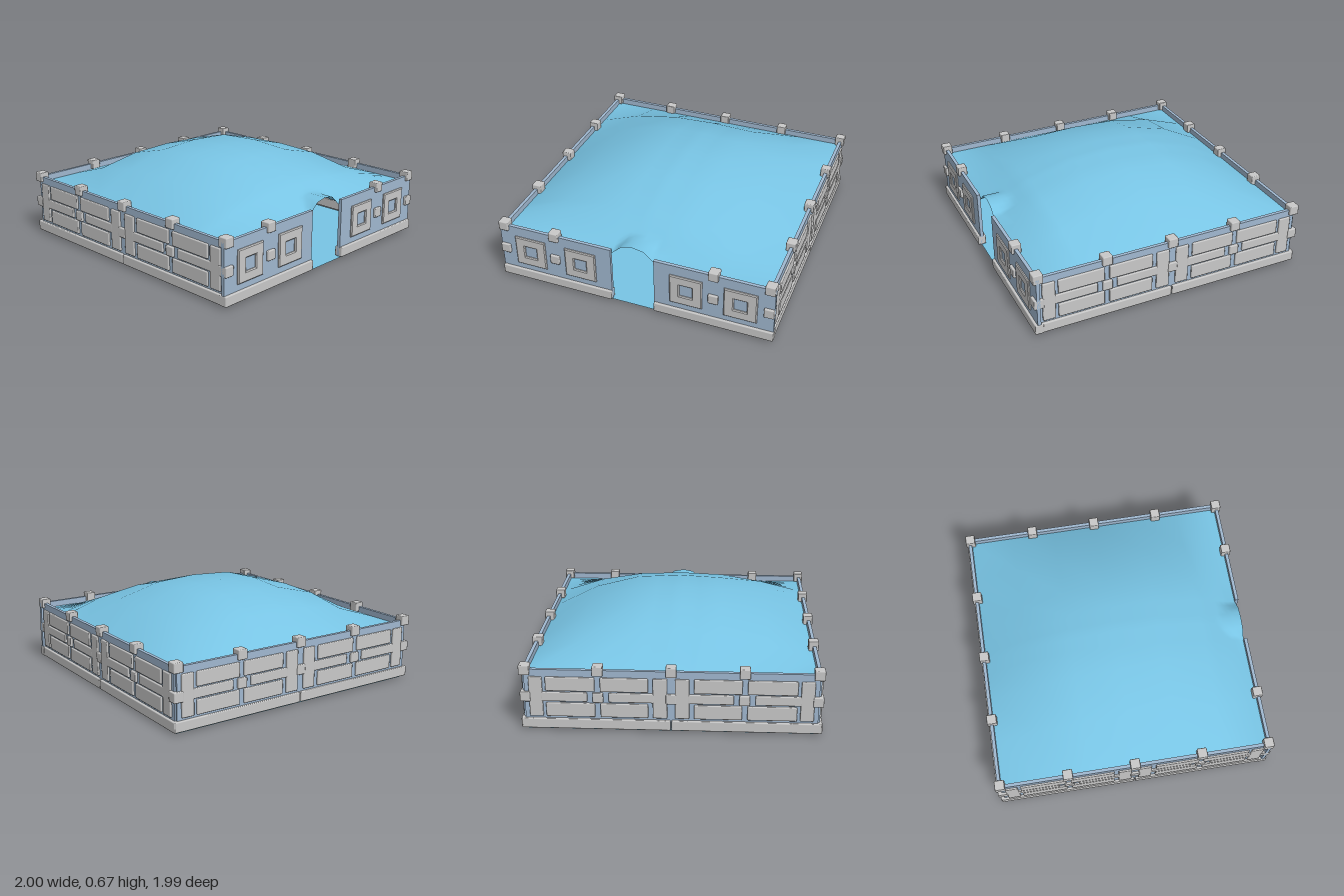
import * as THREE from 'three';
import { RoundedBoxGeometry } from 'three/addons/geometries/RoundedBoxGeometry.js';

const mat = (name, color, side = THREE.FrontSide) => {
  const m = new THREE.MeshStandardMaterial({ color, side });
  m.name = name;
  return m;
};

export function createModel() {
  const stone = mat('stone grey', 0xc8c8c8);
  const wallBlue = mat('wall blue', 0xa0b8d0);
  const sky = mat('dome blue', 0x78c4e4, THREE.DoubleSide);

  const model = new THREE.Group();
  model.name = 'walledDome';

  const WALL = 0.965; // distance of wall centre plane from the middle

  const add = (parent, name, geo, material, x, y, z) => {
    const m = new THREE.Mesh(geo, material);
    m.name = name;
    m.position.set(x, y, z);
    parent.add(m);
    return m;
  };
  // bevelled stone spanning x0..x1, y0..y1, passing through the wall
  const block = (parent, name, x0, x1, y0, y1, depth = 0.05, z = WALL) =>
    add(parent, name, new RoundedBoxGeometry(x1 - x0, y1 - y0, depth, 1, 0.007),
      stone, (x0 + x1) / 2, (y0 + y1) / 2, z);
  const stud = (parent, x, y) => block(parent, 'stud', x - 0.035, x + 0.035, y - 0.035, y + 0.035, 0.07, 0.96);
  const plate = (parent, x0, x1) =>
    add(parent, 'wallPlate', new THREE.BoxGeometry(x1 - x0, 0.42, 0.024), wallBlue, (x0 + x1) / 2, 0.225, WALL);
  const curb = (parent, x0, x1) => block(parent, 'curb', x0, x1, 0.014, 0.085, 0.06);

  // span mirrored about x = 0
  const mirrored = (fn, x0, x1, ...rest) => {
    fn(x0, x1, ...rest);
    fn(-x1, -x0, ...rest);
  };

  // Patterned walls: back, left and right
  const patternWall = (name, angle) => {
    const g = new THREE.Group();
    g.name = name;
    plate(g, -0.965, 0.965);
    mirrored((a, b) => curb(g, a, b), 0.003, 0.99);
    const b = (a, c, y0, y1) => block(g, 'inlayStone', a, c, y0, y1);
    // inner and outer panels of each half
    mirrored(b, 0.025, 0.12, 0.1, 0.385);
    mirrored(b, 0.11, 0.41, 0.21, 0.277);
    mirrored(b, 0.15, 0.465, 0.285, 0.385);
    mirrored(b, 0.15, 0.465, 0.1, 0.2);
    mirrored(b, 0.845, 0.935, 0.1, 0.385);
    mirrored(b, 0.55, 0.855, 0.21, 0.277);
    mirrored(b, 0.5, 0.825, 0.285, 0.385);
    mirrored(b, 0.5, 0.825, 0.1, 0.2);
    for (const x of [-0.48, 0, 0.48]) for (const y of [0.242, 0.432]) stud(g, x, y);
    g.rotation.y = angle;
    model.add(g);
  };
  patternWall('backWall', Math.PI);
  patternWall('leftWall', Math.PI / 2);
  patternWall('rightWall', -Math.PI / 2);

  // Front wall with a doorway gap and square frames
  const front = new THREE.Group();
  front.name = 'frontWall';
  model.add(front);
  mirrored((a, b) => plate(front, a, b), 0.156, 0.995);
  mirrored((a, b) => curb(front, a, b), 0.156, 0.998);

  const square = (path, r) =>
    path.moveTo(-r, -r).lineTo(r, -r).lineTo(r, r).lineTo(-r, r).closePath();
  const frameShape = square(new THREE.Shape(), 0.108);
  frameShape.holes.push(square(new THREE.Path(), 0.052));
  const frameGeo = new THREE.ExtrudeGeometry(frameShape, {
    depth: 0.038, bevelEnabled: true, bevelSize: 0.007, bevelThickness: 0.006, bevelSegments: 1,
  });
  for (const s of [-1, 1]) {
    for (const x of [0.385, 0.765]) add(front, 'squareFrame', frameGeo, stone, s * x, 0.245, 0.946);
    for (const y of [0.242, 0.432]) stud(front, s * 0.577, y);
  }

  // Corner studs
  for (const sx of [-1, 1]) for (const sz of [-1, 1]) for (const y of [0.242, 0.432])
    block(model, 'cornerStud', sx * 0.96 - 0.035, sx * 0.96 + 0.035, y - 0.035, y + 0.035, 0.07, sz * 0.96);

  // Floor
  add(model, 'floor', new THREE.PlaneGeometry(1.93, 1.93), sky, 0, 0, 0).rotation.x = -Math.PI / 2;

  // Dome: faceted pillow, raised into an arch above the doorway
  const lerpTable = (table, v) => {
    for (let i = 1; i < table.length; i++) {
      const [x0, y0] = table[i - 1], [x1, y1] = table[i];
      if (v <= x1) return y0 + (y1 - y0) * (v - x0) / (x1 - x0);
    }
    return table[table.length - 1][1];
  };
  const bulge = [[0, 1], [0.32, 0.93], [0.64, 0.61], [0.955, 0]];
  const arch = [[0, 0.483], [0.08, 0.468], [0.157, 0.395], [0.16, 0]];
  const cols = [-0.955, -0.64, -0.32, -0.157, -0.12, -0.08, -0.04, 0, 0.04, 0.08, 0.12, 0.157, 0.32, 0.64, 0.955];
  const rows = [-0.955, -0.64, -0.32, 0, 0.32, 0.64, 0.72, 0.76, 0.79, 0.82, 0.86, 0.9, 0.955];
  const domeGeo = new THREE.PlaneGeometry(1, 1, cols.length - 1, rows.length - 1);
  const pos = domeGeo.attributes.position;
  for (let i = 0; i < pos.count; i++) {
    const x = cols[i % cols.length], z = rows[Math.floor(i / cols.length)];
    let y = 0.392 + 0.28 * lerpTable(bulge, Math.abs(x)) * lerpTable(bulge, Math.abs(z));
    if (z > 0.7) y = Math.max(y, lerpTable(arch, Math.abs(x)));
    pos.setXYZ(i, x, y, z);
  }
  domeGeo.computeVertexNormals();
  add(model, 'dome', domeGeo, sky, 0, 0, 0);

  return model;
}
